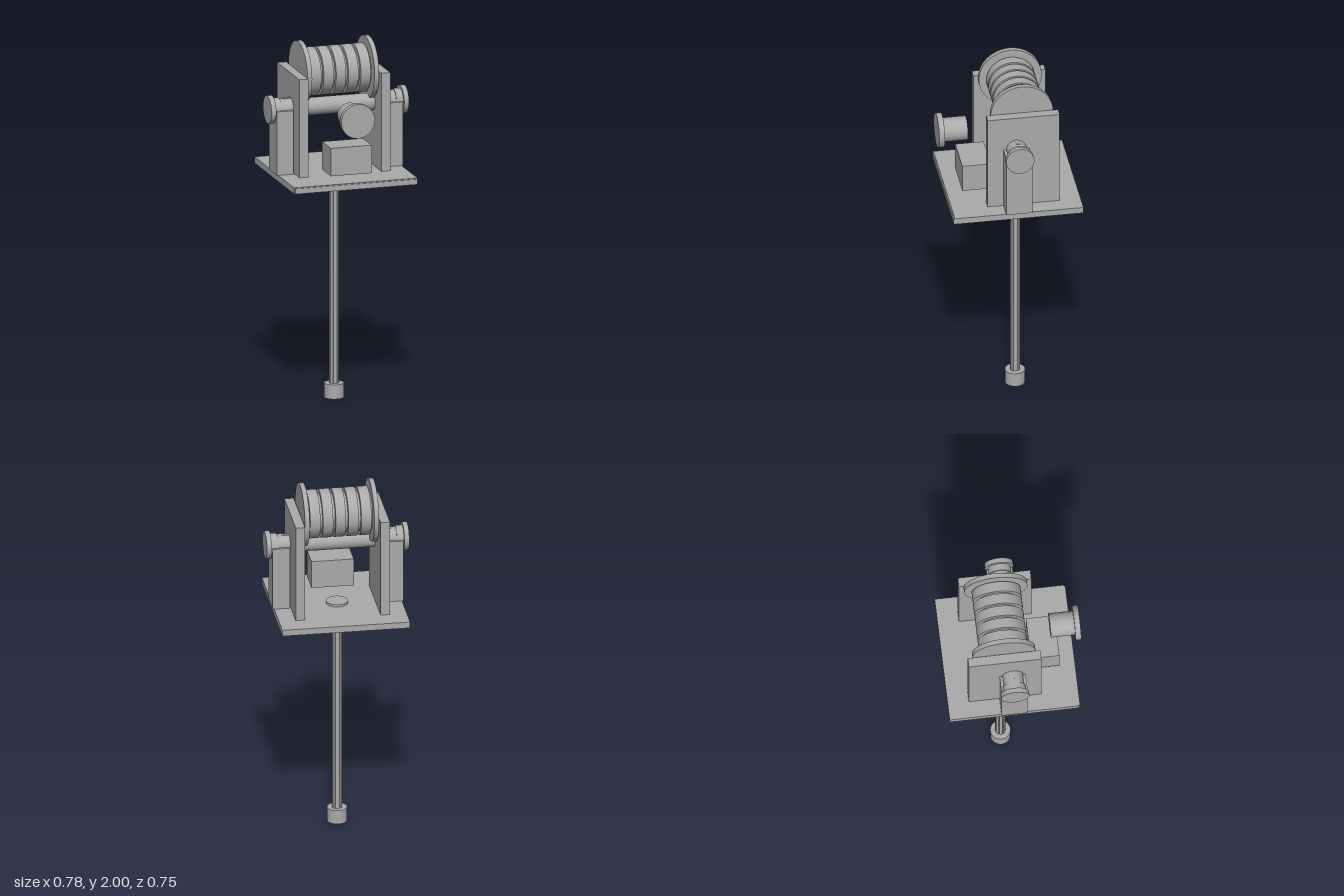
import * as THREE from 'three';

export function createModel() {
  const model = new THREE.Group();
  model.name = 'winchStand';
  const grey = new THREE.MeshStandardMaterial({ color: 0xaaaaaa });
  grey.name = 'plain grey';

  const add = (name, geometry, x, y, z) => {
    const mesh = new THREE.Mesh(geometry, grey);
    mesh.name = name;
    mesh.position.set(x, y, z);
    model.add(mesh);
    return mesh;
  };
  // Box given by its limits on each axis
  const box = (name, x0, x1, y0, y1, z0, z1) =>
    add(name, new THREE.BoxGeometry(x1 - x0, y1 - y0, z1 - z0),
      (x0 + x1) / 2, (y0 + y1) / 2, (z0 + z1) / 2);
  // Cylinder running from a to b along one axis; u and v are its other two coordinates in xyz order
  const rod = (name, axis, a, b, r, u, v, sides = 48) => {
    const g = new THREE.CylinderGeometry(r, r, b - a, sides);
    const m = (a + b) / 2;
    if (axis === 'x') return add(name, g.rotateZ(Math.PI / 2), m, u, v);
    if (axis === 'z') return add(name, g.rotateX(Math.PI / 2), u, v, m);
    return add(name, g, u, m, v);
  };

  // Base plate with a thin front lip
  box('basePlate', -0.35, 0.35, 1.255, 1.29, -0.375, 0.33);
  box('frontLip', -0.345, 0.345, 1.255, 1.285, 0.33, 0.336);

  // Column with shallow flutes, its foot and the cap above the plate
  const columnZ = -0.058;
  const flutes = 8;
  const outline = [];
  for (let i = 0; i < flutes; i++) {
    for (const [t, r] of [[0, 0.028], [0.35, 0.028], [0.7, 0.028], [0.75, 0.024], [0.95, 0.024]]) {
      const a = ((i + t - 0.35) / flutes) * Math.PI * 2;
      outline.push(new THREE.Vector2(Math.cos(a) * r, Math.sin(a) * r));
    }
  }
  const columnShape = new THREE.ExtrudeGeometry(new THREE.Shape(outline), { depth: 1.23, bevelEnabled: false });
  add('column', columnShape.rotateX(-Math.PI / 2), 0, 0.06, columnZ);
  rod('foot', 'y', 0, 0.08, 0.055, 0, columnZ);
  rod('columnCap', 'y', 1.285, 1.303, 0.06, 0, columnZ);

  // Drum with raised bands and end flanges
  const drumY = 1.828, drumZ = -0.062;
  rod('drumCore', 'x', -0.19, 0.19, 0.11, drumY, drumZ);
  for (let i = -2; i <= 2; i++) {
    rod('drumBand', 'x', i * 0.07 - 0.028, i * 0.07 + 0.028, 0.133, drumY, drumZ);
  }

  // Axle below the drum
  const axleY = 1.643, axleZ = -0.022;
  rod('axle', 'x', -0.3, 0.3, 0.048, axleY, axleZ);

  // Mirrored side parts
  for (const s of [-1, 1]) {
    const span = (a, b) => (s > 0 ? [a, b] : [-b, -a]);
    rod('drumFlange', 'x', ...span(0.177, 0.203), 0.172, drumY, drumZ, 64);
    box('sidePanel', ...span(0.207, 0.258), 1.29, 1.838, -0.26, 0.135);
    box('sidePost', ...span(0.263, 0.358), 1.29, 1.645, -0.093, 0.049);
    rod('knobShaft', 'x', ...span(0.25, 0.33), 0.055, axleY, axleZ);
    rod('knobCollar', 'x', ...span(0.325, 0.365), 0.061, axleY, axleZ);
    rod('knobDisc', 'x', ...span(0.363, 0.39), 0.077, axleY, axleZ);
    box('axleKey', ...span(0.2, 0.3), 1.685, 1.7, -0.034, -0.015);
  }

  // Front knob and the block below it
  rod('frontKnobShaft', 'z', 0.21, 0.345, 0.066, 0, axleY);
  rod('frontKnobDisc', 'z', 0.341, 0.372, 0.095, 0, axleY, 64);
  box('block', -0.116, 0.116, 1.316, 1.472, 0.094, 0.25);

  return model;
}
